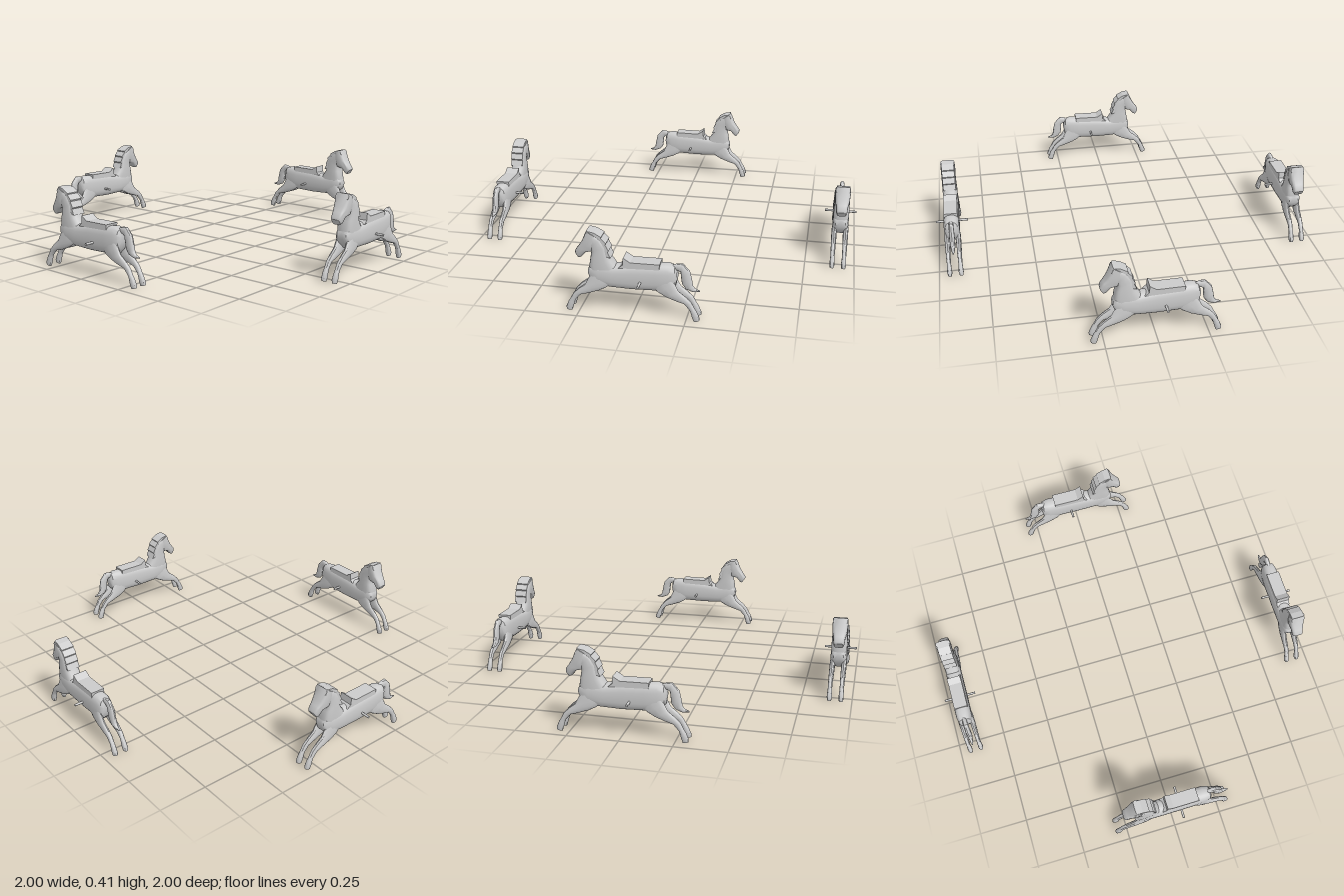
import * as THREE from 'three';
import { toCreasedNormals } from 'three/addons/utils/BufferGeometryUtils.js';

const grey = new THREE.MeshStandardMaterial({ color: 0xcccccc });

function add(parent, name, geometry) {
  const mesh = new THREE.Mesh(geometry, grey);
  mesh.name = name;
  parent.add(mesh);
  return mesh;
}

// Skins rounded sections. Each station is [x1, y1, x2, y2, halfWidth]:
// point 1 lies to the right of the direction of travel, point 2 to the left.
function loft(stations, roundness = 0.7, sides = 16) {
  const pos = [], index = [];
  const soft = (v) => Math.sign(v) * Math.abs(v) ** roundness;
  for (const [x1, y1, x2, y2, w] of stations) {
    for (let j = 0; j < sides; j++) {
      const t = (j / sides) * Math.PI * 2;
      const c = soft(Math.cos(t)) / 2;
      pos.push((x1 + x2) / 2 + c * (x1 - x2), (y1 + y2) / 2 + c * (y1 - y2), w * soft(Math.sin(t)));
    }
  }
  const last = stations.length - 1;
  for (let i = 0; i < last; i++) {
    for (let j = 0; j < sides; j++) {
      const k = (j + 1) % sides;
      const a = i * sides + j, b = i * sides + k;
      index.push(a, a + sides, b, b, a + sides, b + sides);
    }
  }
  // end caps
  for (let j = 1; j < sides - 1; j++) {
    index.push(0, j, j + 1);
    index.push(last * sides, last * sides + j + 1, last * sides + j);
  }
  const g = new THREE.BufferGeometry();
  g.setAttribute('position', new THREE.Float32BufferAttribute(pos, 3));
  g.setIndex(index);
  return toCreasedNormals(g, 0.7);
}

// Flat side profile given thickness about z = 0.
function slab(points, width) {
  const shape = new THREE.Shape(points.map(([x, y]) => new THREE.Vector2(x, y)));
  return new THREE.ExtrudeGeometry(shape, { depth: width, bevelEnabled: false }).translate(0, 0, -width / 2);
}

const bodyStations = [
  [0.205, 0.235, 0.207, 0.2, 0.02],
  [0.195, 0.258, 0.2, 0.165, 0.032],
  [0.165, 0.267, 0.17, 0.136, 0.04],
  [0.11, 0.262, 0.11, 0.131, 0.041],
  [0, 0.255, 0, 0.127, 0.041],
  [-0.08, 0.243, -0.1, 0.13, 0.041],
  [-0.15, 0.25, -0.16, 0.137, 0.041],
  [-0.19, 0.24, -0.195, 0.165, 0.036],
  [-0.203, 0.22, -0.206, 0.19, 0.025],
];

const neckStations = [
  [-0.07, 0.235, -0.195, 0.18, 0.038],
  [-0.095, 0.27, -0.2, 0.23, 0.04],
  [-0.108, 0.3, -0.192, 0.275, 0.039],
  [-0.113, 0.335, -0.187, 0.305, 0.038],
  [-0.138, 0.375, -0.192, 0.325, 0.038],
  [-0.172, 0.397, -0.205, 0.345, 0.038],
  [-0.203, 0.405, -0.215, 0.38, 0.036],
];

const headStations = [
  [-0.205, 0.409, -0.165, 0.385, 0.038],
  [-0.215, 0.388, -0.165, 0.345, 0.039],
  [-0.23, 0.352, -0.18, 0.306, 0.036],
  [-0.247, 0.325, -0.213, 0.297, 0.03],
  [-0.263, 0.303, -0.233, 0.272, 0.027],
  [-0.264, 0.293, -0.245, 0.266, 0.022],
];

const legStations = [
  [-0.17, 0.225, -0.1, 0.15, 0.009],
  [-0.198, 0.18, -0.12, 0.132, 0.0135],
  [-0.216, 0.145, -0.155, 0.113, 0.0135],
  [-0.25, 0.118, -0.2, 0.097, 0.0125],
  [-0.276, 0.09, -0.24, 0.086, 0.0115],
  [-0.29, 0.062, -0.265, 0.058, 0.0105],
  [-0.3, 0.046, -0.271, 0.044, 0.0115],
  [-0.312, 0.018, -0.277, 0.022, 0.013],
  [-0.312, 0.006, -0.284, 0, 0.01],
];
const hindStations = legStations.map(([a, b, c, d, w]) => [-c, d, -a, b, w]);

const tailStations = [
  [0.185, 0.235, 0.185, 0.262, 0.01],
  [0.208, 0.236, 0.205, 0.27, 0.012],
  [0.22, 0.228, 0.23, 0.272, 0.013],
  [0.222, 0.2, 0.262, 0.238, 0.014],
  [0.226, 0.17, 0.272, 0.195, 0.014],
  [0.243, 0.147, 0.277, 0.164, 0.013],
  [0.275, 0.134, 0.285, 0.152, 0.009],
  [0.308, 0.137, 0.309, 0.142, 0.003],
];

// Stepped locks down the nape of the neck.
const mane = [
  [-0.2, 0.407], [-0.17, 0.402], [-0.136, 0.383], [-0.138, 0.377], [-0.115, 0.353],
  [-0.118, 0.346], [-0.103, 0.318], [-0.108, 0.311], [-0.095, 0.282], [-0.15, 0.3], [-0.16, 0.36],
].reverse();

// Seat with raised pommel.
const saddle = [
  [-0.06, 0.238], [0.128, 0.245], [0.13, 0.272], [-0.005, 0.27], [-0.037, 0.291], [-0.04, 0.255],
];

function createHorse() {
  const horse = new THREE.Group();
  horse.name = 'horse';
  add(horse, 'body', loft(bodyStations, 0.7, 24));
  add(horse, 'neck', loft(neckStations, 0.6, 20));
  add(horse, 'head', loft(headStations, 0.5, 20));
  add(horse, 'mane', slab(mane, 0.066));
  add(horse, 'saddle', slab(saddle, 0.07));
  add(horse, 'tail', loft(tailStations, 0.9, 12));
  for (const [side, z] of [['left', -1], ['right', 1]].map(([s, d]) => [s, d * -0.029])) {
    add(horse, side + 'Foreleg', loft(legStations, 0.85, 12)).position.z = z;
    add(horse, side + 'HindLeg', loft(hindStations, 0.85, 12)).position.z = z;
  }
  // foot rest bar through the flanks
  const bar = add(horse, 'footBar', new THREE.CylinderGeometry(0.006, 0.006, 0.166, 12));
  bar.rotation.x = Math.PI / 2;
  bar.position.set(0.04, 0.175, 0);
  return horse;
}

export function createModel() {
  const model = new THREE.Group();
  model.name = 'carouselHorses';
  // four horses chasing one another around the centre
  for (let i = 0; i < 4; i++) {
    const arm = new THREE.Group();
    arm.name = 'horsePosition' + (i + 1);
    const horse = createHorse();
    horse.position.z = 0.917;
    arm.add(horse);
    arm.rotation.y = (i * Math.PI) / 2;
    model.add(arm);
  }
  return model;
}
